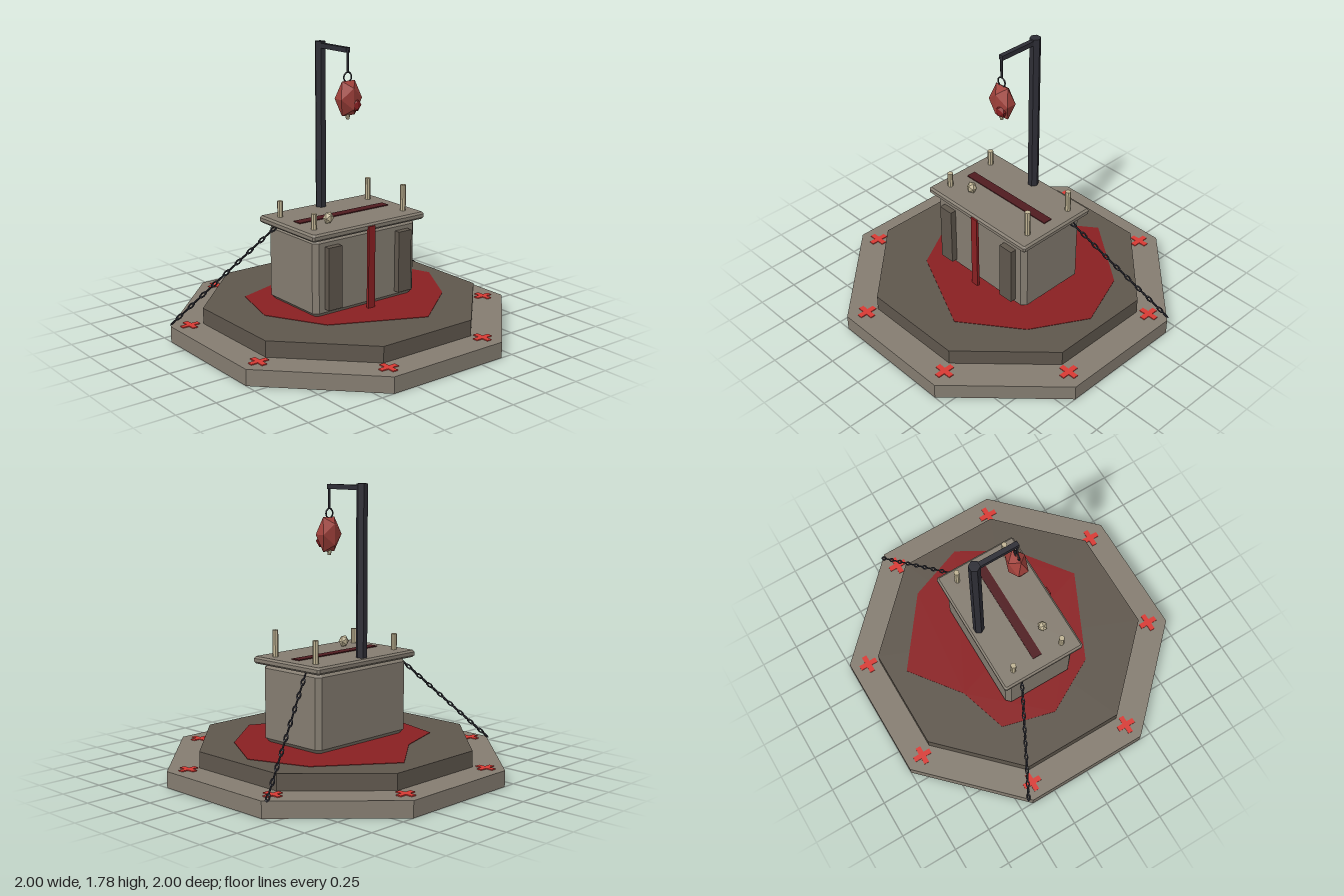
import * as THREE from 'three';

const mat = (name, color) => {
  const m = new THREE.MeshStandardMaterial({ color });
  m.name = name;
  return m;
};

export function createModel() {
  const root = new THREE.Group();
  root.name = 'altar';

  const stone = mat('lightStone', 0x857d71);
  const darkStone = mat('darkStone', 0x5f574d);
  const iron = mat('blackIron', 0x2e2e36);
  const blood = mat('blood', 0x8a2022);
  const rune = mat('brightRed', 0xd83a34);
  const groove = mat('driedBlood', 0x501c20);
  const flesh = mat('flesh', 0xa0413b);
  const bone = mat('bone', 0xc0b494);

  const add = (name, geo, material, x = 0, y = 0, z = 0, parent = root) => {
    const g = geo.index ? geo.toNonIndexed() : geo; // faceted normals
    g.computeVertexNormals();
    const mesh = new THREE.Mesh(g, material);
    mesh.name = name;
    mesh.position.set(x, y, z);
    parent.add(mesh);
    return mesh;
  };
  const box = (w, h, d) => new THREE.BoxGeometry(w, h, d);

  // Upright box with every edge chamfered by c, standing on y = 0
  const chamferBox = (w, h, d, c) => {
    const a = w / 2 - c, b = d / 2 - c, k = c * 0.4;
    const pts = [[a - k, -b], [a, -b + k], [a, b - k], [a - k, b],
      [-a + k, b], [-a, b - k], [-a, -b + k], [-a + k, -b]];
    const shape = new THREE.Shape(pts.map(p => new THREE.Vector2(...p)));
    return new THREE.ExtrudeGeometry(shape, {
      depth: h - 2 * c, bevelEnabled: true, bevelSize: c, bevelThickness: c, bevelSegments: 1,
    }).translate(0, 0, c).rotateX(-Math.PI / 2);
  };

  // Octagonal steps
  const octagon = (apothem) => {
    const r = apothem / Math.cos(Math.PI / 8);
    return new THREE.CylinderGeometry(r, r, 0.1, 8, 1, false, Math.PI / 8);
  };
  add('lowerStep', octagon(1), stone, 0, 0.05, 0);
  add('upperStep', octagon(0.815), darkStone, 0, 0.15, 0);

  // Blood pool on the upper step
  const pool = [[0.15, -0.7], [0.59, -0.37], [0.73, 0], [0.53, 0.35], [0.17, 0.62],
    [-0.39, 0.36], [-0.59, 0], [-0.5, -0.35], [-0.18, -0.45]];
  const poolShape = new THREE.Shape(pool.map(([x, z]) => new THREE.Vector2(x, -z)));
  add('bloodPool', new THREE.ExtrudeGeometry(poolShape, { depth: 0.003, bevelEnabled: false })
    .rotateX(-Math.PI / 2), blood, 0, 0.2, 0);

  // Red crosses around the lower step
  const crosses = [[-0.375, -0.885], [0.355, -0.89], [0.88, -0.375], [0.885, 0.355],
    [0.37, 0.88], [-0.36, 0.885], [-0.885, 0.37], [-0.895, -0.36]];
  const s = 0.06, t = 0.017;
  const plus = new THREE.Shape([[-t, -s], [t, -s], [t, -t], [s, -t], [s, t], [t, t],
    [t, s], [-t, s], [-t, t], [-s, t], [-s, -t], [-t, -t]].map(p => new THREE.Vector2(...p)));
  for (const [x, z] of crosses) {
    add('stepCross', new THREE.ExtrudeGeometry(plus, { depth: 0.006, bevelEnabled: false })
      .rotateX(-Math.PI / 2), rune, x, 0.1, z);
  }

  // Altar block, slab and carved details
  add('altarBlock', chamferBox(0.785, 0.495, 0.49, 0.03), stone, 0, 0.2, 0);
  add('altarSlab', chamferBox(0.86, 0.045, 0.565, 0.012), stone, 0, 0.69, 0);
  add('slabGroove', box(0.69, 0.008, 0.062), groove, 0, 0.737, -0.002);
  for (const side of [-1, 1]) {
    add('frontPanel', box(0.1, 0.39, 0.045), darkStone, side * 0.27, 0.445, 0.262);
  }
  add('bloodDrip', box(0.05, 0.52, 0.018), blood, 0, 0.46, 0.284);

  // Candles of differing height
  for (const [x, z, h] of [[-0.345, 0.172, 0.095], [0.345, 0.172, 0.165],
    [0.345, -0.175, 0.14], [-0.345, -0.175, 0.1]]) {
    add('candle', new THREE.CylinderGeometry(0.018, 0.018, h, 8), bone, x, 0.735 + h / 2, z);
  }
  add('smallSkull', new THREE.IcosahedronGeometry(0.035, 0), bone, -0.2, 0.77, 0.122)
    .scale.set(1, 1.15, 0.9);

  // Gallows with hook and ring
  add('pole', new THREE.CylinderGeometry(0.035, 0.035, 1.045, 6, 1, false, Math.PI / 6),
    iron, 0, 1.2575, -0.22);
  add('poleArm', box(0.03, 0.03, 0.285), iron, 0, 1.755, -0.085);
  add('hookRod', new THREE.CylinderGeometry(0.008, 0.008, 0.13, 6), iron, 0, 1.69, 0.052);
  add('hookRing', new THREE.TorusGeometry(0.03, 0.005, 5, 12), iron, 0, 1.592, 0.052);

  // Hanging heart
  const heart = new THREE.Group();
  heart.name = 'hangingHeart';
  heart.position.set(0, 1.465, 0.053);
  root.add(heart);
  add('heartBody', new THREE.IcosahedronGeometry(1, 0).scale(0.092, 0.124, 0.064),
    flesh, 0.005, 0, 0, heart);
  add('heartLobe', new THREE.IcosahedronGeometry(0.042, 0).scale(1, 1.1, 0.75),
    blood, 0.03, -0.04, 0.033, heart);
  add('heartTip', new THREE.CylinderGeometry(0.016, 0.01, 0.03, 6), bone, 0, -0.113, 0, heart);

  // Chains from the altar down to the lower step
  const links = 18;
  for (const side of [-1, 1]) {
    const chain = new THREE.Group();
    chain.name = side > 0 ? 'leftChain' : 'rightChain';
    root.add(chain);
    const from = new THREE.Vector3(side * 0.395, 0.69, -0.145);
    const to = new THREE.Vector3(side * 0.985, 0.1, -0.44);
    const dir = to.clone().sub(from);
    const len = dir.length();
    const turn = new THREE.Quaternion()
      .setFromUnitVectors(new THREE.Vector3(0, 1, 0), dir.normalize());
    for (let i = 0; i < links; i++) {
      const link = new THREE.TorusGeometry(0.01, 0.005, 4, 8)
        .scale(1, (len / links) * 0.65 / 0.015, 1).rotateY(i % 2 ? Math.PI / 2 : 0);
      const p = from.clone().lerp(to, (i + 0.5) / links);
      add('chainLink', link, iron, p.x, p.y, p.z, chain).quaternion.copy(turn);
    }
  }
  return root;
}
